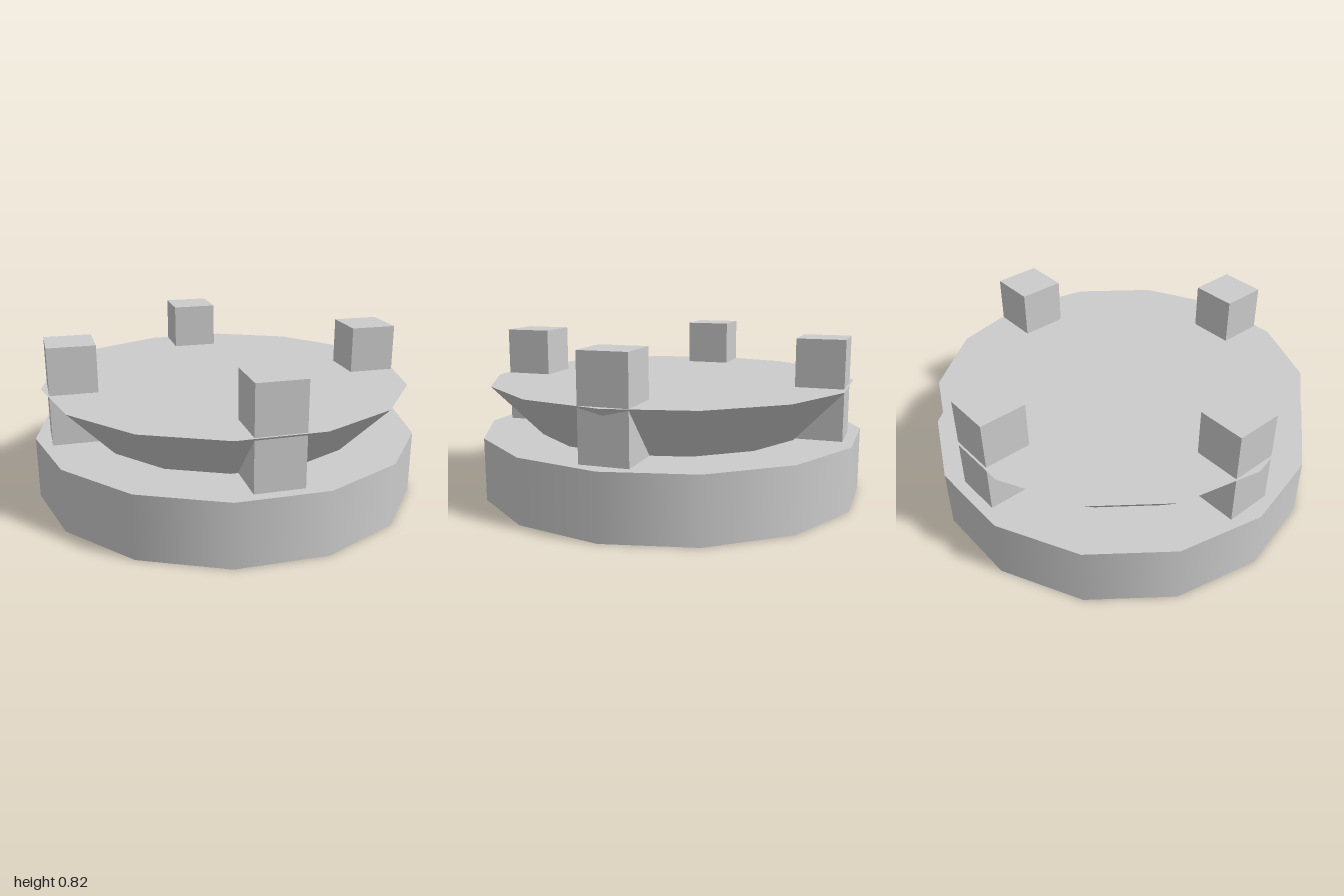
import * as THREE from 'three';

const SIDES = 14;

export function createModel() {
  const model = new THREE.Group();
  const grey = new THREE.MeshStandardMaterial({ color: 0xcccccc });
  grey.name = 'light grey';

  const add = (name, geometry, x, y, z) => {
    const mesh = new THREE.Mesh(geometry, grey);
    mesh.name = name;
    mesh.position.set(x, y, z);
    model.add(mesh);
  };

  // Fourteen-sided drum with a corner on the x axis
  const drum = (top, bottom, height) =>
    new THREE.CylinderGeometry(top, bottom, height, SIDES, 1, false, Math.PI / 2);

  // Base slab and the flared platform on it
  add('base', drum(1, 1, 0.32), 0, 0.16, 0);
  add('platform', drum(0.955, 0.703, 0.26), 0, 0.45, 0);

  // Four square posts rising through the platform rim
  const post = new THREE.BoxGeometry(0.24, 0.5, 0.24);
  for (const [name, x, z] of [
    ['leftPost', 0.8, 0], ['rightPost', -0.8, 0],
    ['frontPost', 0, 0.8], ['backPost', 0, -0.8],
  ]) add(name, post, x, 0.57, z);

  return model;
}
